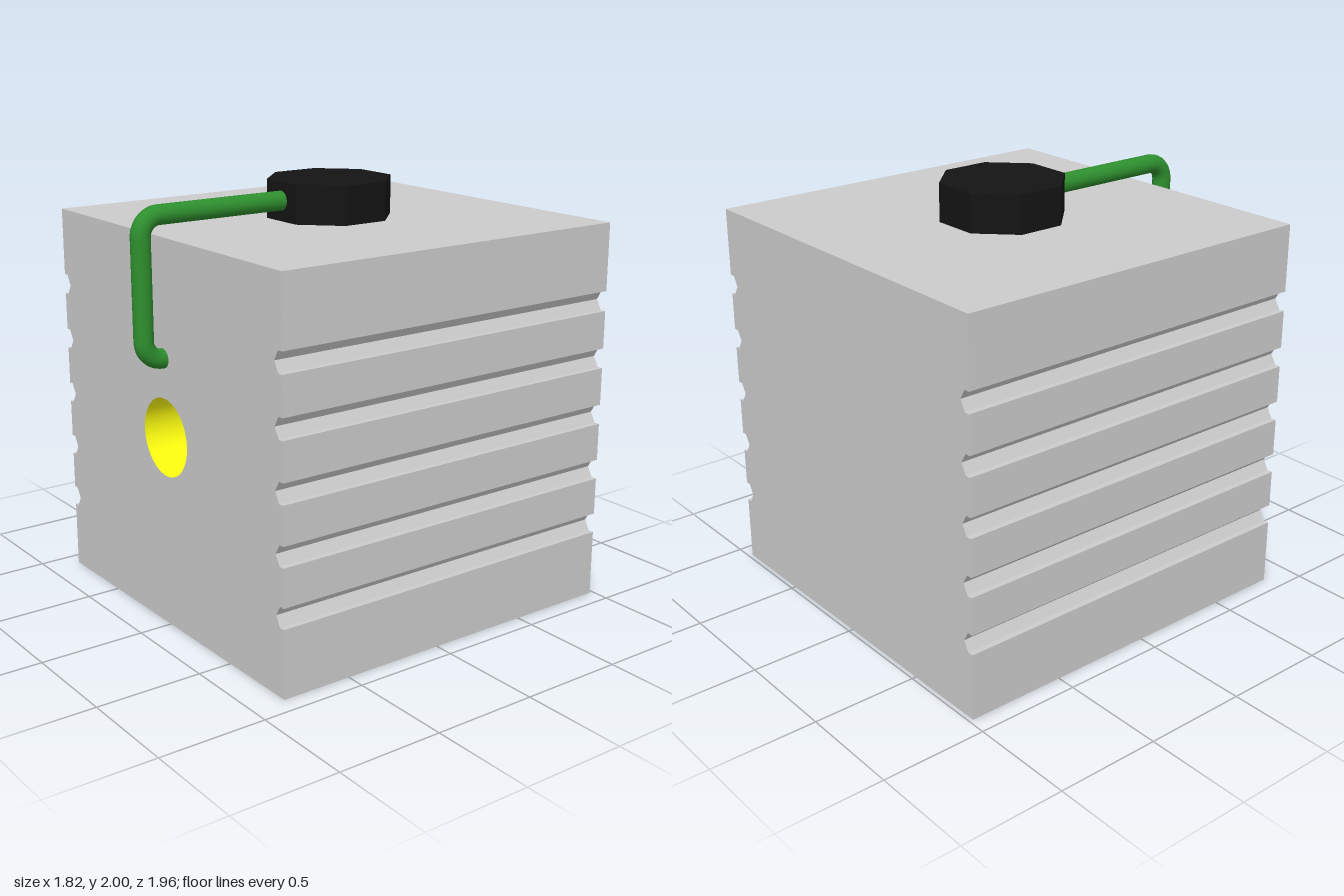
import * as THREE from 'three';
import { mergeGeometries } from 'three/addons/utils/BufferGeometryUtils.js';

const HALF = 0.91, HEIGHT = 1.82, BACK = -0.98, FRONT = 0.84;
const HOLE_Y = 0.91, HOLE_R = 0.182, HOLE_DEPTH = 0.365;

const material = (color, extra = {}) => new THREE.MeshStandardMaterial({ color, ...extra });

function add(group, name, geometry, mat) {
  const mesh = new THREE.Mesh(geometry, mat);
  mesh.name = name;
  group.add(mesh);
  return mesh;
}

// Square outline with five half-hexagon notches on both sides
function bodyOutline() {
  const r = 0.0545, h = r * Math.sqrt(3) / 2;
  const right = [[HALF, 0]];
  for (let i = 0; i < 5; i++) {
    const y = 0.365 + i * 0.2725;
    right.push([HALF, y - h], [HALF - r / 2, y - h], [HALF - r, y], [HALF - r / 2, y + h], [HALF, y + h]);
  }
  right.push([HALF, HEIGHT]);
  const left = right.map(([x, y]) => [-x, y]).reverse();
  return new THREE.Shape([...right, ...left].map(([x, y]) => new THREE.Vector2(x, y)));
}

// Extruded walls, plain back and a front pierced by the blind hole
function bodyGeometry() {
  const block = new THREE.ExtrudeGeometry(bodyOutline(), { depth: FRONT - BACK, bevelEnabled: false });
  const { start, count } = block.groups[1];
  const walls = new THREE.BufferGeometry();
  for (const key of ['position', 'normal', 'uv']) {
    const a = block.attributes[key], n = a.itemSize;
    walls.setAttribute(key, new THREE.BufferAttribute(a.array.slice(start * n, (start + count) * n), n));
  }
  walls.translate(0, 0, BACK);

  const face = bodyOutline();
  face.holes.push(new THREE.Path().absarc(0, HOLE_Y, HOLE_R, 0, Math.PI * 2, true));
  const front = new THREE.ShapeGeometry(face, 24).toNonIndexed().translate(0, 0, FRONT);
  const back = new THREE.ShapeGeometry(bodyOutline()).toNonIndexed().rotateY(Math.PI).translate(0, 0, BACK);
  return mergeGeometries([walls, front, back]);
}

// Pipe path: out of the knob, over the front edge, down and into the front face
function pipePath() {
  const y1 = 1.915, y0 = 1.278, z = 0.935, r = 0.09;
  const p = (py, pz) => new THREE.Vector3(0, py, pz);
  const path = new THREE.CurvePath();
  const bend = (cy, cz, from) => {
    // Quarter circle as a cubic curve; from = +1 for the upper bend, -1 for the lower
    const k = r * 0.5523;
    return from > 0
      ? new THREE.CubicBezierCurve3(p(cy + r, cz), p(cy + r, cz + k), p(cy + k, cz + r), p(cy, cz + r))
      : new THREE.CubicBezierCurve3(p(cy, cz + r), p(cy - k, cz + r), p(cy - r, cz + k), p(cy - r, cz));
  };
  path.add(new THREE.LineCurve3(p(y1, 0.1), p(y1, z - r)));
  path.add(bend(y1 - r, z - r, 1));
  path.add(new THREE.LineCurve3(p(y1 - r, z), p(y0 + r, z)));
  path.add(bend(y0 + r, z - r, -1));
  path.add(new THREE.LineCurve3(p(y0, z - r), p(y0, z - r - 0.05)));
  return path;
}

export function createModel() {
  const model = new THREE.Group();
  model.name = 'notchedBlock';

  add(model, 'body', bodyGeometry(), material(0xcccccc));

  // Blind hole: inner wall and floor
  const hole = new THREE.Group();
  hole.name = 'hole';
  hole.position.set(0, HOLE_Y, FRONT - HOLE_DEPTH);
  model.add(hole);
  const yellow = material(0xffff10, { side: THREE.DoubleSide });
  const wall = new THREE.CylinderGeometry(HOLE_R, HOLE_R, HOLE_DEPTH, 48, 1, true);
  add(hole, 'holeWall', wall.rotateX(Math.PI / 2).translate(0, 0, HOLE_DEPTH / 2), yellow);
  add(hole, 'holeFloor', new THREE.CircleGeometry(HOLE_R, 48), yellow);

  // Octagonal knob with a flat side to the front
  const knobGeometry = new THREE.CylinderGeometry(0.295, 0.295, 0.18, 8).rotateY(Math.PI / 8);
  const knob = add(model, 'knob', knobGeometry, material(0x141414, { flatShading: true }));
  knob.position.set(0, HEIGHT + 0.09, -0.073);

  add(model, 'pipe', new THREE.TubeGeometry(pipePath(), 160, 0.045, 20), material(0x2e8f2e));
  return model;
}
